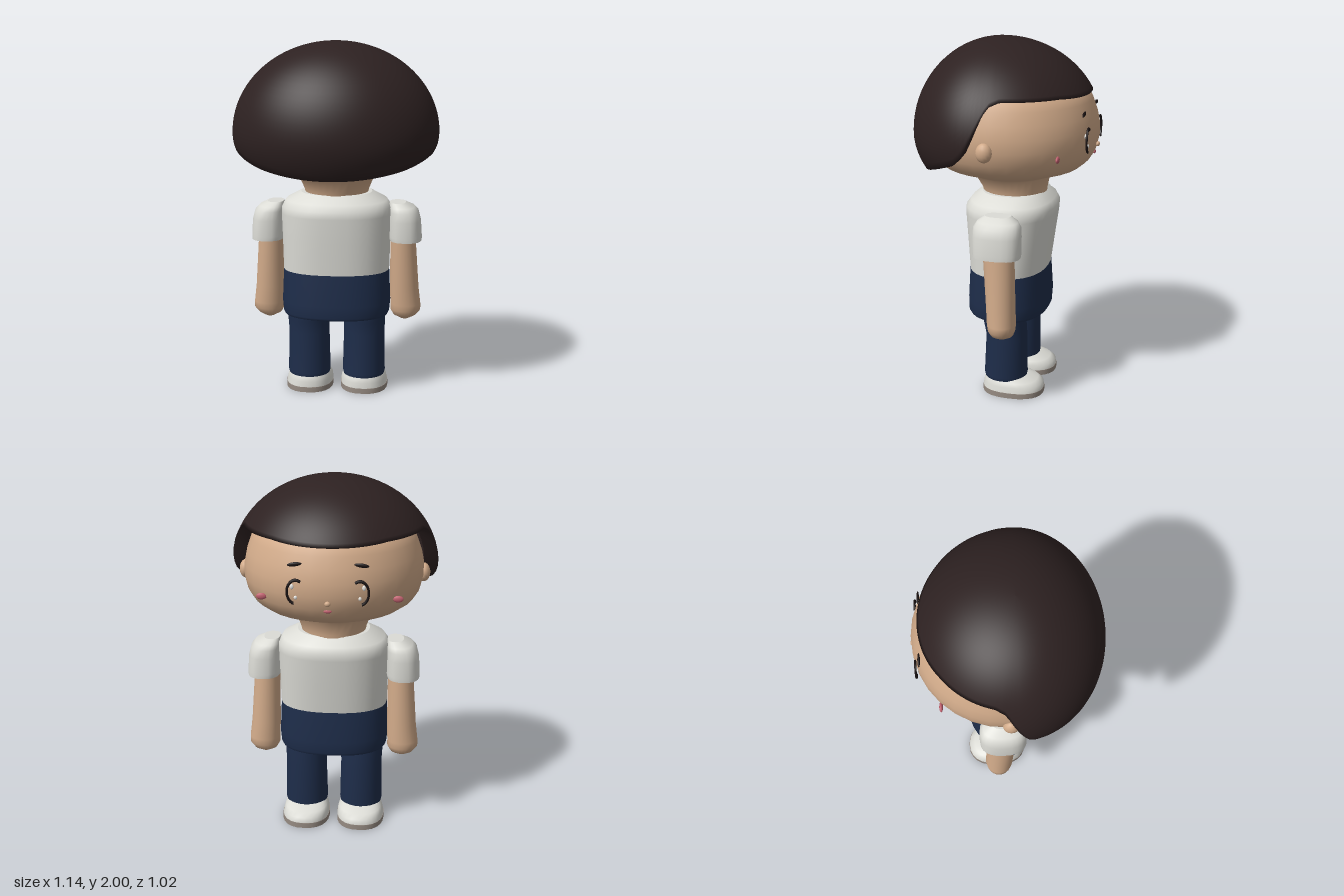
import * as THREE from 'three';

const paint = (name, color) => Object.assign(new THREE.MeshStandardMaterial({ color }), { name });

// Closed rings stacked bottom to top; point(i, angle) gives a corner of ring i
function skinRings(rows, n, point, caps = true) {
  const pos = [], idx = [];
  for (let i = 0; i < rows; i++)
    for (let j = 0; j < n; j++) pos.push(...point(i, (j / n) * Math.PI * 2));
  for (let i = 0; i < rows - 1; i++)
    for (let j = 0; j < n; j++) {
      const k = (j + 1) % n, a = i * n + j, b = i * n + k;
      idx.push(a, a + n, b, b, a + n, b + n);
    }
  if (caps) for (const top of [false, true]) {
    const row = top ? rows - 1 : 0, base = pos.length / 3;
    for (let j = 0; j < n; j++) pos.push(...point(row, (j / n) * Math.PI * 2));
    for (let j = 1; j < n - 1; j++)
      idx.push(base, base + (top ? j + 1 : j), base + (top ? j : j + 1));
  }
  const g = new THREE.BufferGeometry();
  g.setAttribute('position', new THREE.Float32BufferAttribute(pos, 3));
  g.setIndex(idx);
  g.computeVertexNormals();
  return g;
}

// Oval sections: [y, xMin, xMax, zMin, zMax]; power below 1 makes them boxier
function loft(sections, power = 1, n = 32) {
  const bend = v => Math.sign(v) * Math.abs(v) ** power;
  return skinRings(sections.length, n, (i, a) => {
    const [y, x0, x1, z0, z1] = sections[i];
    return [(x0 + x1) / 2 + bend(Math.cos(a)) * (x1 - x0) / 2, y,
      (z0 + z1) / 2 + bend(Math.sin(a)) * (z1 - z0) / 2];
  });
}

// Height of the hair's edge by direction, from the fringe (-1) to the nape (1)
const RIM = [[-1, 1.72], [-0.8, 1.735], [-0.25, 1.74], [-0.13, 1.715], [-0.07, 1.66], [0.02, 1.56],
  [0.13, 1.46], [0.24, 1.41], [0.68, 1.335], [1, 1.29]];
function rimHeight(s) {
  const k = Math.max(1, RIM.findIndex(p => p[0] >= s - 1e-6));
  const [s0, y0] = RIM[k - 1], [s1, y1] = RIM[k];
  return y0 + (y1 - y0) * (s - s0) / (s1 - s0);
}

function hairGeometry() {
  const rows = 24;
  return skinRings(rows + 1, 128, (i, a) => {
    const s = Math.sin(a), rim = rimHeight(s);
    const t = Math.max(0, i - 1) / (rows - 1);
    const polar = Math.acos((rim - 1.5) / 0.5) * (1 - t);
    const y = 1.5 + 0.5 * Math.cos(polar);
    let f = y > 1.5 ? Math.sin(polar) : 1 - 0.15 * ((1.5 - y) / 0.21) ** 2;
    if (i === 0) f *= 0.86; // edge turned inward
    return [0.57 * f * Math.cos(a), y + (i === 0 ? 0.015 : 0), 0.04 + f * s * (s > 0 ? 0.47 : 0.555)];
  }, false);
}

export function createModel() {
  const model = new THREE.Group();
  const skin = paint('skin', 0xd2ab8a), hair = paint('hair', 0x2d2121);
  const shirt = paint('shirt', 0xdcdcd6), trousers = paint('trousers', 0x1e2d4a);
  const sole = paint('sole', 0x968b82), blush = paint('blush', 0xc0606e);
  const dark = paint('dark', 0x1a1212), white = paint('white', 0xf2f0ec);
  hair.side = THREE.DoubleSide;

  const add = (name, geo, mat, parent = model) => {
    const m = new THREE.Mesh(geo, mat);
    m.name = name;
    parent.add(m);
    return m;
  };
  const blob = (name, mat, p, r, parent = model) => {
    const m = add(name, new THREE.SphereGeometry(1, 16, 10), mat, parent);
    m.position.set(...p);
    m.scale.set(...r);
    return m;
  };

  // Head with neck
  const headProfile = [[1.1, 0.175, -0.04], [1.17, 0.18, -0.04], [1.245, 0.21, -0.025], [1.262, 0.245, -0.025],
    [1.308, 0.38, -0.025], [1.345, 0.43, -0.02], [1.4, 0.465, -0.02], [1.47, 0.482, -0.02], [1.54, 0.482, -0.02],
    [1.61, 0.468, -0.02], [1.68, 0.443, -0.02], [1.73, 0.42, -0.02], [1.8, 0.35, 0], [1.88, 0.22, 0], [1.92, 0.08, 0]];
  add('head', loft(headProfile.map(([y, r, z]) => {
    const w = r > 0.4 ? r * 1.015 : r;
    return [y, -w, w, z - r, z + r];
  })), skin);
  add('hair', hairGeometry(), hair);
  blob('nose', skin, [0, 1.44, -0.5], [0.016, 0.014, 0.012]);
  blob('mouth', blush, [0, 1.395, -0.484], [0.022, 0.009, 0.006]);

  // Torso and hips
  add('shirtBody', loft([[0.72, -0.3, 0.3, -0.235, 0.2], [0.9, -0.305, 0.305, -0.26, 0.212],
    [1.04, -0.31, 0.31, -0.28, 0.222], [1.08, -0.308, 0.308, -0.283, 0.22], [1.115, -0.285, 0.285, -0.265, 0.195],
    [1.16, -0.2, 0.2, -0.21, 0.135]], 0.85), shirt);
  add('hips', loft([[0.46, -0.295, 0.295, -0.235, 0.2], [0.475, -0.302, 0.302, -0.243, 0.21],
    [0.54, -0.308, 0.308, -0.247, 0.21], [0.72, -0.3, 0.3, -0.235, 0.2]], 0.85), trousers);

  // Paired parts, shaped on the +x side and mirrored by swapping signs
  for (const side of [1, -1]) {
    const half = new THREE.Group();
    half.name = side > 0 ? 'leftSide' : 'rightSide';
    model.add(half);
    const flip = list => list.map(([y, a, b, c, d]) => side > 0 ? [y, a, b, c, d] : [y, -b, -a, c, d]);
    const limb = (name, list, mat, power) => add(name, loft(flip(list), power, 24), mat, half);

    limb('leg', [[0.09, 0.04, 0.275, -0.15, 0.09], [0.11, 0.036, 0.28, -0.153, 0.093],
      [0.34, 0.042, 0.275, -0.15, 0.082], [0.42, 0.04, 0.28, -0.145, 0.098], [0.5, 0.04, 0.28, -0.14, 0.1]], trousers);
    limb('shoeSole', [[0, 0.022, 0.294, -0.25, 0.1], [0.03, 0.022, 0.294, -0.25, 0.1]], sole, 0.85);
    limb('shoeUpper', [[0.03, 0.024, 0.292, -0.248, 0.098], [0.06, 0.027, 0.286, -0.243, 0.095],
      [0.08, 0.035, 0.278, -0.215, 0.09], [0.1, 0.05, 0.262, -0.15, 0.08]], shirt, 0.85);
    limb('arm', [[0.415, 0.365, 0.415, -0.095, -0.035], [0.435, 0.325, 0.455, -0.13, -0.005],
      [0.465, 0.308, 0.48, -0.142, 0.008], [0.5, 0.308, 0.48, -0.145, 0.013], [0.6, 0.304, 0.468, -0.14, 0.02],
      [0.9, 0.305, 0.447, -0.132, 0.04]], skin);
    limb('sleeve', [[0.885, 0.3, 0.482, -0.17, 0.09], [0.91, 0.295, 0.482, -0.172, 0.092],
      [1.0, 0.295, 0.476, -0.172, 0.093], [1.05, 0.295, 0.463, -0.168, 0.088], [1.075, 0.295, 0.44, -0.15, 0.072],
      [1.1, 0.3, 0.39, -0.105, 0.035]], shirt, 0.8);

    // Face details
    blob('ear', skin, [side * 0.49, 1.475, 0], [0.035, 0.052, 0.044], half);
    blob('cheek', blush, [side * 0.358, 1.43, -0.358], [0.028, 0.018, 0.01], half);
    const brow = blob('eyebrow', dark, [side * 0.172, 1.635, -0.456], [0.038, 0.011, 0.007], half);
    brow.rotation.z = -side * 0.12;
    const lash = add('eyeArc', new THREE.TorusGeometry(0.05, 0.007, 6, 24, 3.5), dark, half);
    lash.geometry.rotateZ(-1.35);
    lash.geometry.scale(0.9, 1.25, 0.9);
    lash.position.set(side * 0.165, 1.495, -0.479);
    if (side < 0) lash.rotation.y = Math.PI;
    blob('eyeGlintLarge', white, [side * 0.185, 1.52, -0.469], [0.01, 0.014, 0.006], half);
    blob('eyeGlintSmall', white, [side * 0.165, 1.465, -0.478], [0.009, 0.01, 0.006], half);
  }
  return model;
}
